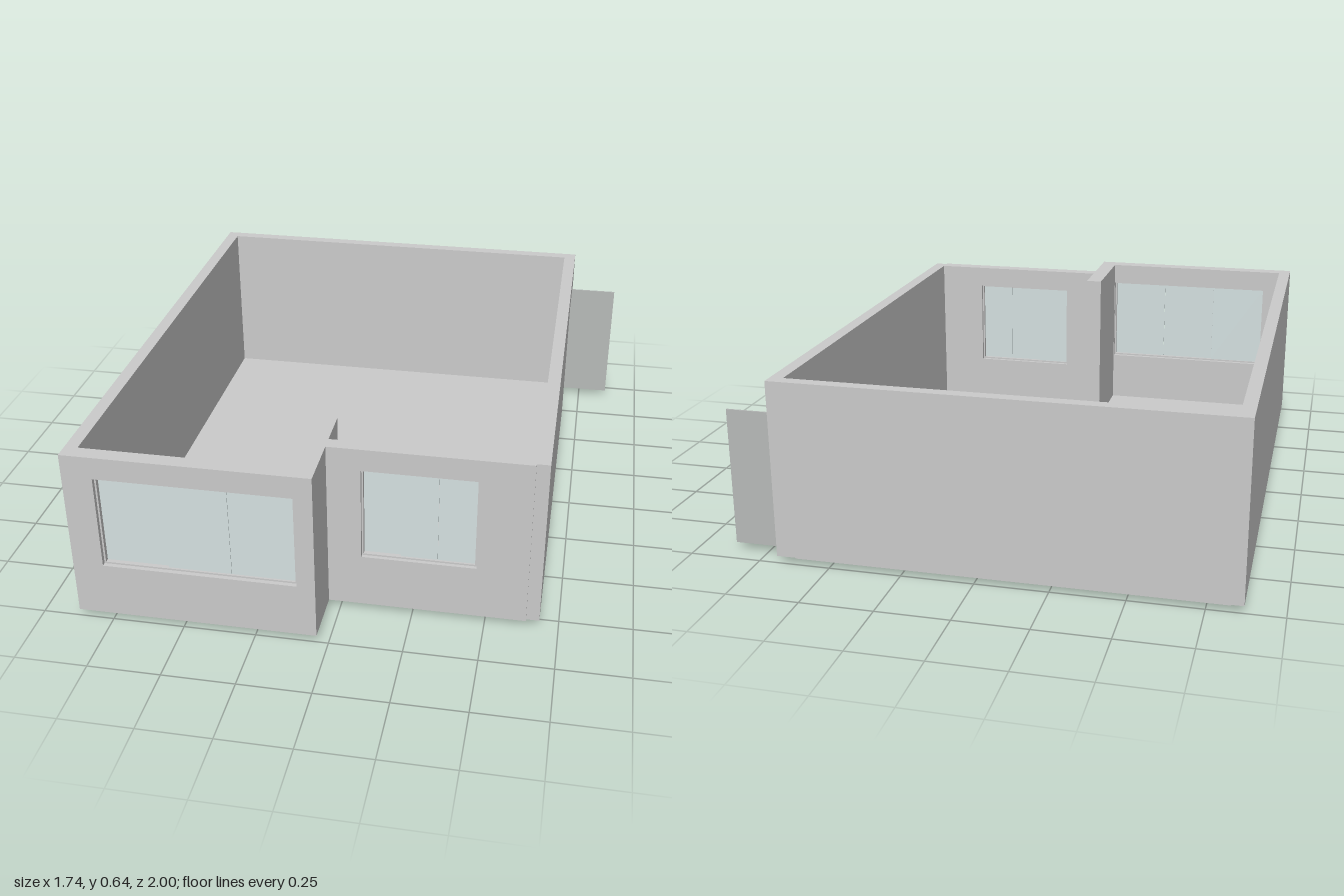
import * as THREE from 'three';

const BASE = 0.025, TOP = 0.64;
const wallMat = new THREE.MeshStandardMaterial({ color: 0xcccccc });
const glassMat = new THREE.MeshStandardMaterial({ color: 0xd5e1e1 });
const doorMat = new THREE.MeshStandardMaterial({ color: 0xb8bbb9 });

const rect = (C, x0, x1, y0, y1) => new C([[x0, y0], [x1, y0], [x1, y1], [x0, y1]].map(p => new THREE.Vector2(...p)));
const polygon = pts => new THREE.Shape(pts.map(p => new THREE.Vector2(...p)));
const extrude = (shape, depth) => new THREE.ExtrudeGeometry(shape, { depth, bevelEnabled: false });

function add(parent, name, geometry, material = wallMat) {
  const mesh = new THREE.Mesh(geometry, material);
  mesh.name = name;
  parent.add(mesh);
  return mesh;
}

// Axis-aligned block given by its limits
function block(parent, name, x0, x1, y0, y1, z0, z1, material) {
  const geometry = new THREE.BoxGeometry(x1 - x0, y1 - y0, z1 - z0);
  geometry.translate((x0 + x1) / 2, (y0 + y1) / 2, (z0 + z1) / 2);
  return add(parent, name, geometry, material);
}

// Front wall with a three-pane sliding window
function windowWall(parent, side, x0, x1, z0, z1, wx0, wx1) {
  const y0 = 0.22, y1 = 0.56, rim = 0.006, mid = (z0 + z1) / 2;
  const wall = rect(THREE.Shape, x0, x1, BASE, TOP);
  wall.holes.push(rect(THREE.Path, wx0, wx1, y0, y1));
  add(parent, side + 'FrontWall', extrude(wall, z1 - z0).translate(0, 0, z0));

  const win = new THREE.Group();
  win.name = side + 'Window';
  parent.add(win);
  const frame = rect(THREE.Shape, wx0, wx1, y0, y1);
  frame.holes.push(rect(THREE.Path, wx0 + rim, wx1 - rim, y0 + rim, y1 - rim));
  add(win, 'windowFrame', extrude(frame, 0.024).translate(0, 0, mid - 0.012));

  // Panes sit on alternating tracks
  const step = (wx1 - wx0 - 2 * rim) / 3;
  for (let i = 0; i < 3; i++) {
    const a = wx0 + rim + i * step, z = mid + (i === 0 ? -0.006 : 0.003);
    block(win, 'windowPane', a, a + step - (i < 2 ? 0.001 : 0), y0 + rim, y1 - rim, z - 0.002, z + 0.002, glassMat);
  }
}

export function createModel() {
  const house = new THREE.Group();
  house.name = 'house';

  // Floor slab, notched around the partition
  const floor = polygon([
    [-0.825, -0.945], [-0.1, -0.945], [-0.1, -0.61], [-0.04, -0.61],
    [-0.04, -0.75], [0.64, -0.75], [0.64, 0.957], [-0.825, 0.957],
  ]);
  add(house, 'floor', extrude(floor, BASE).rotateX(-Math.PI / 2));

  // Solid walls
  block(house, 'backWall', -0.87, 0.685, BASE, TOP, -1, -0.957);
  block(house, 'rightWall', -0.87, -0.825, BASE, TOP, -0.957, 1);
  block(house, 'partition', -0.1, -0.04, BASE, TOP, 0.61, 1);

  // Front walls with windows
  windowWall(house, 'right', -0.825, -0.1, 0.945, 1, -0.765, -0.102);
  windowWall(house, 'left', -0.04, 0.64, 0.75, 0.8, 0.075, 0.465);

  // Side wall with the doorway, drawn along -z
  const sideWall = polygon([
    [-0.79, BASE], [0.7, BASE], [0.7, 0.517], [0.93, 0.517],
    [0.93, BASE], [0.957, BASE], [0.957, TOP], [-0.79, TOP],
  ]);
  add(house, 'leftWall', extrude(sideWall, 0.045).rotateY(Math.PI / 2).translate(0.64, 0, 0));

  // Door leaf standing open
  block(house, 'door', 0.645, 0.866, BASE, 0.507, -0.93, -0.924, doorMat);

  return house;
}
